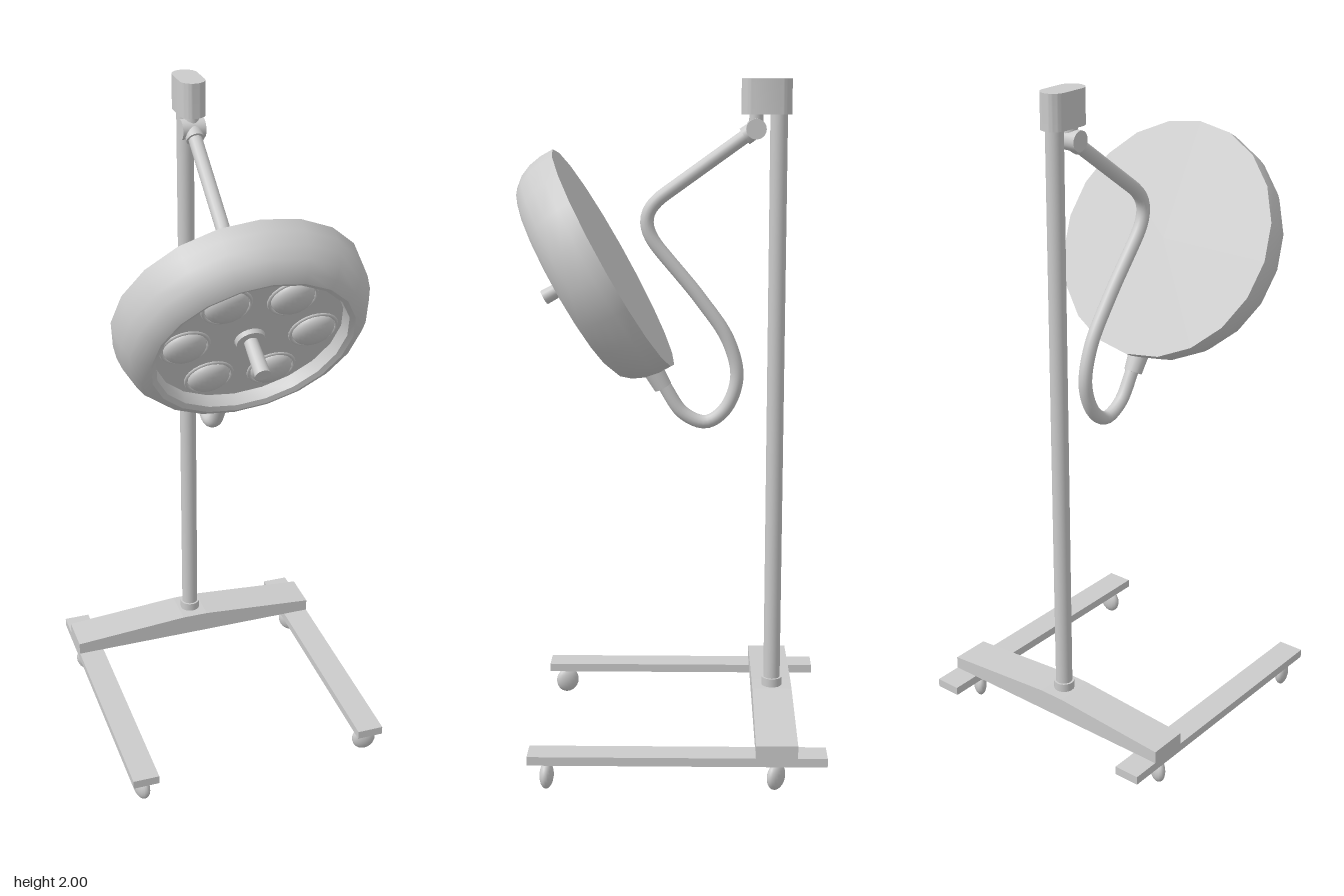
import * as THREE from 'three';
import { toCreasedNormals } from 'three/addons/utils/BufferGeometryUtils.js';

const material = new THREE.MeshStandardMaterial({ color: 0xcccccc });
const V = (x, y, z) => new THREE.Vector3(x, y, z);

function add(parent, name, geometry, x = 0, y = 0, z = 0) {
  const mesh = new THREE.Mesh(geometry, material);
  mesh.name = name;
  mesh.position.set(x, y, z);
  parent.add(mesh);
  return mesh;
}

// Cylinder between two points
function rod(parent, name, a, b, r0, r1 = r0, sides = 20) {
  const mesh = add(parent, name, new THREE.CylinderGeometry(r1, r0, a.distanceTo(b), sides));
  mesh.position.copy(a).add(b).multiplyScalar(0.5);
  mesh.quaternion.setFromUnitVectors(V(0, 1, 0), b.clone().sub(a).normalize());
  return mesh;
}

function buildBase(stand) {
  // Crossbar with a top that slopes down to both ends
  const profile = new THREE.Shape([
    [-0.398, 0.115], [0.398, 0.115], [0.398, 0.153], [0.04, 0.18], [-0.04, 0.18], [-0.398, 0.153],
  ].map(([x, y]) => new THREE.Vector2(x, y)));
  const bar = new THREE.ExtrudeGeometry(profile, { depth: 0.12, bevelEnabled: false });
  add(stand, 'crossbar', bar, 0, 0, -0.06);

  // Two rails, each on two swivelled casters
  const yaw = { '-1': [0.75, 0], '1': [0.6, 1.15] };
  for (const side of [-1, 1]) {
    add(stand, 'rail', new THREE.BoxGeometry(0.079, 0.026, 0.857), side * 0.358, 0.102, 0.284);
    [0, 0.66].forEach((z, i) => {
      const caster = new THREE.Group();
      caster.name = 'caster';
      caster.position.set(side * 0.36, 0, z);
      caster.rotation.y = yaw[side][i] + 0.316;
      stand.add(caster);
      add(caster, 'casterWheel', new THREE.SphereGeometry(0.04, 18, 12), 0, 0.044).scale.set(0.5, 1, 0.92);
      rod(caster, 'casterStem', V(0, 0.07, 0), V(0, 0.092, 0), 0.012);
    });
  }
}

function buildPole(stand) {
  rod(stand, 'poleCollar', V(0, 0.175, 0), V(0, 0.206, 0), 0.031);
  rod(stand, 'pole', V(0, 0.18, 0), V(0, 1.92, 0), 0.025);

  // Cap with rounded ends, reaching forward over the arm joint
  const cap = new THREE.Shape();
  cap.absarc(0, 0, 0.037, 0, Math.PI, false);
  cap.absarc(0, -0.07, 0.037, Math.PI, Math.PI * 2, false);
  const capGeometry = new THREE.ExtrudeGeometry(cap, { depth: 0.1, bevelEnabled: false, curveSegments: 12 });
  capGeometry.rotateX(-Math.PI / 2);
  add(stand, 'poleCap', toCreasedNormals(capGeometry, 0.6), 0, 1.9, 0);
}

function buildArm(stand) {
  rod(stand, 'armNeck', V(0, 1.86, 0.065), V(0, 1.91, 0.065), 0.02);
  rod(stand, 'armJoint', V(-0.034, 1.86, 0.065), V(0.034, 1.86, 0.065), 0.029);
  rod(stand, 'armSocket', V(0, 1.86, 0.065), V(0, 1.838, 0.098), 0.026);

  // Bent tube: straight down to the elbow, then a loop up into the lamp
  const path = new THREE.CurvePath();
  path.add(new THREE.LineCurve3(V(0, 1.85, 0.08), V(0, 1.675, 0.325)));
  path.add(new THREE.CubicBezierCurve3(
    V(0, 1.675, 0.325), V(0, 1.625, 0.395), V(0, 1.575, 0.39), V(0, 1.51, 0.335)));
  path.add(new THREE.CatmullRomCurve3([
    V(0, 1.51, 0.335), V(0, 1.37, 0.22), V(0, 1.25, 0.14), V(0, 1.14, 0.114),
    V(0, 1.045, 0.148), V(0, 1.006, 0.205), V(0, 1.033, 0.272), V(0, 1.12, 0.331),
  ]));
  add(stand, 'arm', new THREE.TubeGeometry(path, 90, 0.02, 14, false));
}

function buildLamp(stand) {
  const lamp = new THREE.Group();
  lamp.name = 'lampHead';
  lamp.position.set(0, 1.49, 0.472);
  lamp.rotation.x = 0.508;
  stand.add(lamp);

  // Flat back, rounded rim and recessed front face
  const profile = [
    [0, 0], [0.357, 0], [0.357, 0.04], [0.35, 0.08], [0.335, 0.115], [0.312, 0.143],
    [0.285, 0.155], [0.27, 0.148], [0.264, 0.112], [0, 0.112],
  ].map(([r, t]) => new THREE.Vector2(r, t));
  const shell = new THREE.LatheGeometry(profile, 20);
  shell.rotateX(Math.PI / 2);
  add(lamp, 'lampShell', toCreasedNormals(shell, 0.75));

  // Ring of six domed lenses
  for (let i = 0; i < 6; i++) {
    const a = i * Math.PI / 3;
    const x = 0.182 * Math.cos(a), y = 0.182 * Math.sin(a);
    add(lamp, 'lensRing', new THREE.TorusGeometry(0.066, 0.005, 6, 24), x, y, 0.112);
    add(lamp, 'lens', new THREE.SphereGeometry(0.06, 24, 12), x, y, 0.112).scale.z = 0.5;
  }

  // Central handle
  rod(lamp, 'handleBase', V(0, 0, 0.105), V(0, 0, 0.125), 0.045, 0.04);
  rod(lamp, 'handle', V(0, 0, 0.11), V(0, 0, 0.235), 0.019, 0.022);

  // Socket that takes the end of the arm
  rod(lamp, 'lampSocket', V(0, -0.4, 0.062), V(0, -0.32, 0.062), 0.027, 0.032);
}

export function createModel() {
  const model = new THREE.Group();
  model.name = 'surgicalLamp';
  const stand = new THREE.Group();
  stand.name = 'stand';
  stand.position.set(0.09, 0, -0.271);
  stand.rotation.y = -0.316;
  model.add(stand);
  buildBase(stand);
  buildPole(stand);
  buildArm(stand);
  buildLamp(stand);
  return model;
}
